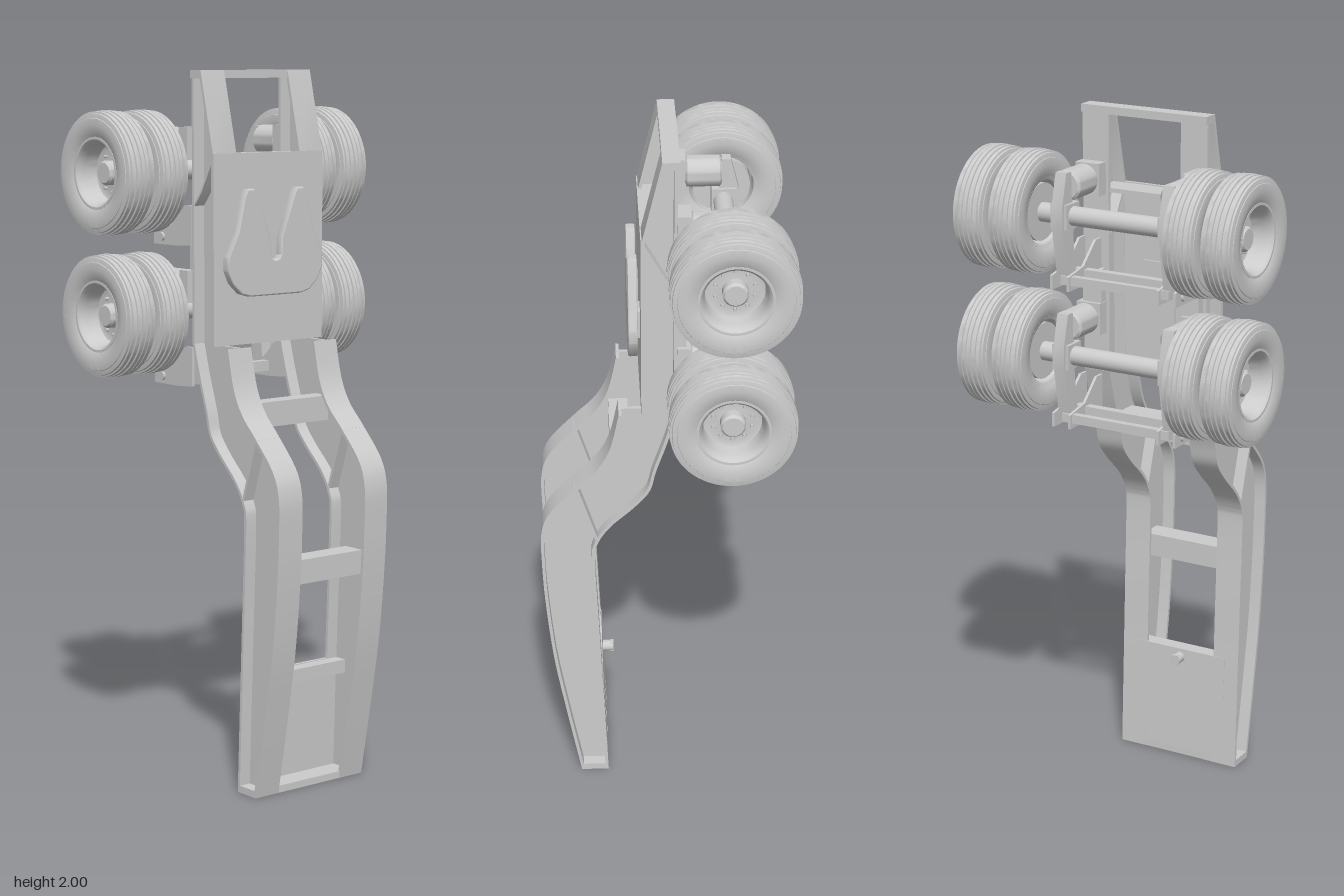
import * as THREE from 'three';
import { toCreasedNormals } from 'three/addons/utils/BufferGeometryUtils.js';

const mat = new THREE.MeshStandardMaterial({ color: 0xcccccc, side: THREE.DoubleSide });
const V = (a) => a.map(([u, v]) => new THREE.Vector2(u, v));

function add(parent, name, geo, x = 0, y = 0, z = 0) {
  const m = new THREE.Mesh(geo, mat);
  m.name = name;
  m.position.set(x, y, z);
  parent.add(m);
  return m;
}

// box given by its limits
function box(parent, name, x0, x1, y0, y1, z0, z1) {
  return add(parent, name, new THREE.BoxGeometry(x1 - x0, y1 - y0, z1 - z0),
    (x0 + x1) / 2, (y0 + y1) / 2, (z0 + z1) / 2);
}

// side outline of [z, y] points, extruded along x around x = 0
function slab(pts, width) {
  const g = new THREE.ExtrudeGeometry(new THREE.Shape(pts), { depth: width, bevelEnabled: false });
  g.translate(0, 0, -width / 2).rotateY(-Math.PI / 2);
  return toCreasedNormals(g, 0.5);
}

// strip of thickness t to one side of a path
function strip(path, t, width) {
  const off = path.map((p, i) => {
    const d = path[Math.min(i + 1, path.length - 1)].clone().sub(path[Math.max(i - 1, 0)]).normalize();
    return new THREE.Vector2(p.x - d.y * t, p.y + d.x * t);
  });
  return slab([...path, ...off.reverse()], width);
}

const smooth = (a, n = 40) => new THREE.SplineCurve(V(a)).getPoints(n);

function lathe(pts, seg = 48) {
  const g = new THREE.LatheGeometry(V(pts), seg);
  g.rotateZ(-Math.PI / 2);
  return toCreasedNormals(g, 0.6);
}

function rod(r, len, axis, seg = 24) {
  const g = new THREE.CylinderGeometry(r, r, len, seg);
  if (axis === 'x') g.rotateZ(Math.PI / 2);
  if (axis === 'z') g.rotateX(Math.PI / 2);
  return g;
}

// I-beam: web between a front and a back edge, plus two flanges
function beam(parent, name, front, back, x) {
  const g = new THREE.Group();
  g.name = name;
  g.position.x = x;
  add(g, 'web', slab([...front, ...[...back].reverse()], 0.012));
  add(g, 'frontFlange', strip(front, -0.009 * -1, 0.082));
  add(g, 'backFlange', strip(back, -0.009, 0.082));
  parent.add(g);
}

// tyre with grooved tread, and its dished rim (dish opens to +x)
function wheel(dishDepth) {
  const g = new THREE.Group();
  const tread = [];
  for (let i = 0; i < 5; i++) {
    const a = -0.0375 + i * 0.0155;
    const r = 0.172 - 0.003 * Math.abs(i - 2) / 2;
    tread.push([r - 0.005, a], [r, a + 0.001], [r, a + 0.012], [r - 0.005, a + 0.013]);
  }
  add(g, 'tyre', lathe([[0.094, -0.036], [0.105, -0.043], [0.13, -0.0475], [0.15, -0.0465], [0.151, -0.045],
    [0.163, -0.0425], ...tread, [0.163, 0.0425], [0.151, 0.045], [0.15, 0.0465],
    [0.13, 0.0475], [0.105, 0.043], [0.094, 0.036]], 64));
  const d = 0.036 - dishDepth;
  add(g, 'rim', lathe([[0.09, -0.036], [0.1, -0.04], [0.1, -0.036], [0.09, -0.03], [0.088, 0.03], [0.1, 0.036],
    [0.1, 0.041], [0.093, 0.041], [0.086, 0.034], [0.082, 0.015], [0.078, d + 0.004], [0.066, d], [0.04, d + 0.004],
    [0, d + 0.004]], 48));
  for (let i = 0; i < 10; i++) {
    const a = i * Math.PI / 5;
    add(g, 'wheelNut', rod(0.005, 0.014, 'x', 6), d + 0.006, Math.cos(a) * 0.054, Math.sin(a) * 0.054);
  }
  return g;
}

// axle with dual wheels, trailing arms, air springs and hangers
function axleUnit(y) {
  const g = new THREE.Group();
  g.name = 'axleUnit';
  g.position.y = y;
  const z = -0.175;
  add(g, 'axle', rod(0.027, 0.54, 'x', 32), 0, 0, z);
  for (const s of [-1, 1]) {
    const inner = wheel(0.004), outer = wheel(0.06);
    inner.name = 'innerWheel';
    outer.name = 'outerWheel';
    inner.position.set(s * 0.268, 0, z);
    outer.position.set(s * 0.382, 0, z);
    inner.rotation.y = outer.rotation.y = s > 0 ? 0 : Math.PI;
    g.add(inner, outer);
    add(g, 'brakeDrum', rod(0.08, 0.06, 'x', 40), s * 0.27, 0, z);
    add(g, 'hubSpacer', rod(0.068, 0.05, 'x', 32), s * 0.325, 0, z);
    add(g, 'hub', lathe([[0.034, -0.03], [0.034, 0.015], [0.028, 0.022], [0, 0.022]], 32), s * 0.372, 0, z)
      .rotation.y = s > 0 ? 0 : Math.PI;

    const x = s * 0.167;
    add(g, 'trailingArm', slab(V([[-0.15, -0.19], [-0.19, -0.19], [-0.218, -0.03], [-0.218, 0.03],
      [-0.195, 0.12], [-0.17, 0.12], [-0.165, 0.03], [-0.165, -0.03]]), 0.034), x);
    box(g, 'axleSeat', x - 0.026, x + 0.026, -0.035, 0.035, -0.21, -0.143);
    add(g, 'airSpring', lathe([[0, -0.05], [0.036, -0.05], [0.043, -0.044], [0.043, 0.044],
      [0.036, 0.05], [0, 0.05]], 32).rotateY(Math.PI / 2), x, 0.08, -0.12);
    box(g, 'springPad', x - 0.045, x + 0.03, 0.035, 0.125, -0.072, -0.035);
    // hanger cheeks around the arm pivot
    for (const o of [-0.026, 0.026]) {
      add(g, 'hangerCheek', slab(V([[-0.035, -0.09], [-0.035, -0.2], [-0.1, -0.205], [-0.21, -0.205],
        [-0.21, -0.165], [-0.13, -0.15], [-0.065, -0.09]]), 0.008), x + o);
    }
    add(g, 'pivotPin', rod(0.012, 0.075, 'x'), x, -0.183, -0.17);
  }
  box(g, 'hangerCrossbar', -0.17, 0.17, -0.19, -0.16, -0.13, -0.105);
  box(g, 'hangerLowerCrossbar', -0.17, 0.17, -0.19, -0.165, -0.2, -0.18);
  return g;
}

export function createModel() {
  const root = new THREE.Group();
  root.name = 'towDolly';

  // edges of the gooseneck and the upper frame as [z, y]
  const neckFront = smooth([[0.245, 0], [0.285, 0.22], [0.318, 0.42], [0.338, 0.62], [0.345, 0.76], [0.344, 0.86],
    [0.318, 0.93], [0.245, 1.01], [0.185, 1.07], [0.148, 1.14], [0.124, 1.245]], 48);
  const neckBack = smooth([[0.165, 0], [0.175, 0.25], [0.186, 0.52], [0.195, 0.76], [0.187, 0.82], [0.15, 0.878],
    [0.085, 0.94], [0.04, 0.995], [0.022, 1.06], [-0.008, 1.15], [-0.035, 1.245]], 48);
  const upFront = V([[0.06, 1.245], [0.06, 1.77], [0.005, 2]]);
  const upBack = V([[-0.035, 1.245], [-0.035, 2]]);

  for (const s of [-1, 1]) {
    const x = s * 0.154;
    beam(root, 'neckRail', neckFront, neckBack, x);
    beam(root, 'upperRail', upFront, upBack, x);
    add(root, 'neckSplice', strip(V([[0.24, 1.01], [0.185, 0.835]]), 0.008, 0.08), x);
    add(root, 'upperGusset', strip(V([[0.056, 1.77], [0, 1.67], [-0.033, 1.63]]), 0.006, 0.078), x);
    box(root, 'suspensionRail', x - 0.03, x + 0.03, 1.44, 1.545, -0.06, -0.035);
  }

  // crossmembers
  box(root, 'topCrossbar', -0.195, 0.195, 1.978, 2, -0.042, 0.005);
  box(root, 'neckCrossmember', -0.15, 0.15, 1.02, 1.09, 0.092, 0.147);
  box(root, 'middleCrossmember', -0.15, 0.15, 0.6, 0.668, 0.225, 0.295);
  box(root, 'deckCrossmember', -0.15, 0.15, 1.25, 1.262, -0.03, 0.055);
  box(root, 'deckCrossmember', -0.15, 0.15, 1.76, 1.772, -0.03, 0.055);

  // pan at the foot
  add(root, 'footPlate', slab(V([[0.166, 0.005], [0.177, 0.34], [0.187, 0.34], [0.176, 0.005]]), 0.3));
  box(root, 'footEnd', -0.195, 0.195, 0, 0.02, 0.166, 0.245);
  box(root, 'footRib', -0.15, 0.15, 0.3, 0.338, 0.178, 0.225);
  add(root, 'towPin', rod(0.016, 0.03, 'z'), 0, 0.315, 0.16);
  box(root, 'pinTab', -0.01, 0.01, 0.3, 0.33, 0.143, 0.152);

  // deck and coupling plate
  box(root, 'deckPlate', -0.195, 0.195, 1.245, 1.775, 0.052, 0.062);
  const half = [[0.022, 1.49], [0.024, 1.54], [0.068, 1.655], [0.078, 1.673], [0.098, 1.673], [0.108, 1.655],
    [0.13, 1.56], [0.165, 1.49], [0.166, 1.455], [0.15, 1.42], [0.12, 1.392], [0.09, 1.384]];
  const outline = [[0, 1.474], [0.014, 1.478], ...half, ...half.map(([x, y]) => [-x, y]).reverse(), [-0.014, 1.478]];
  const plate = new THREE.ExtrudeGeometry(new THREE.Shape(V(outline)),
    { depth: 0.014, bevelEnabled: true, bevelThickness: 0.006, bevelSize: 0.004, bevelSegments: 2 });
  add(root, 'couplingPlate', toCreasedNormals(plate, 0.5), 0, 0, 0.075);
  for (const s of [-1, 1]) box(root, 'couplingMount', s * 0.1 - 0.03, s * 0.1 + 0.03, 1.45, 1.53, 0.06, 0.076);
  add(root, 'couplingPivot', rod(0.018, 0.03, 'z'), 0, 1.43, 0.07);
  box(root, 'couplingBacking', -0.05, 0.05, 1.38, 1.56, 0.046, 0.053);

  // running gear
  root.add(axleUnit(1.325), axleUnit(1.72));
  return root;
}
